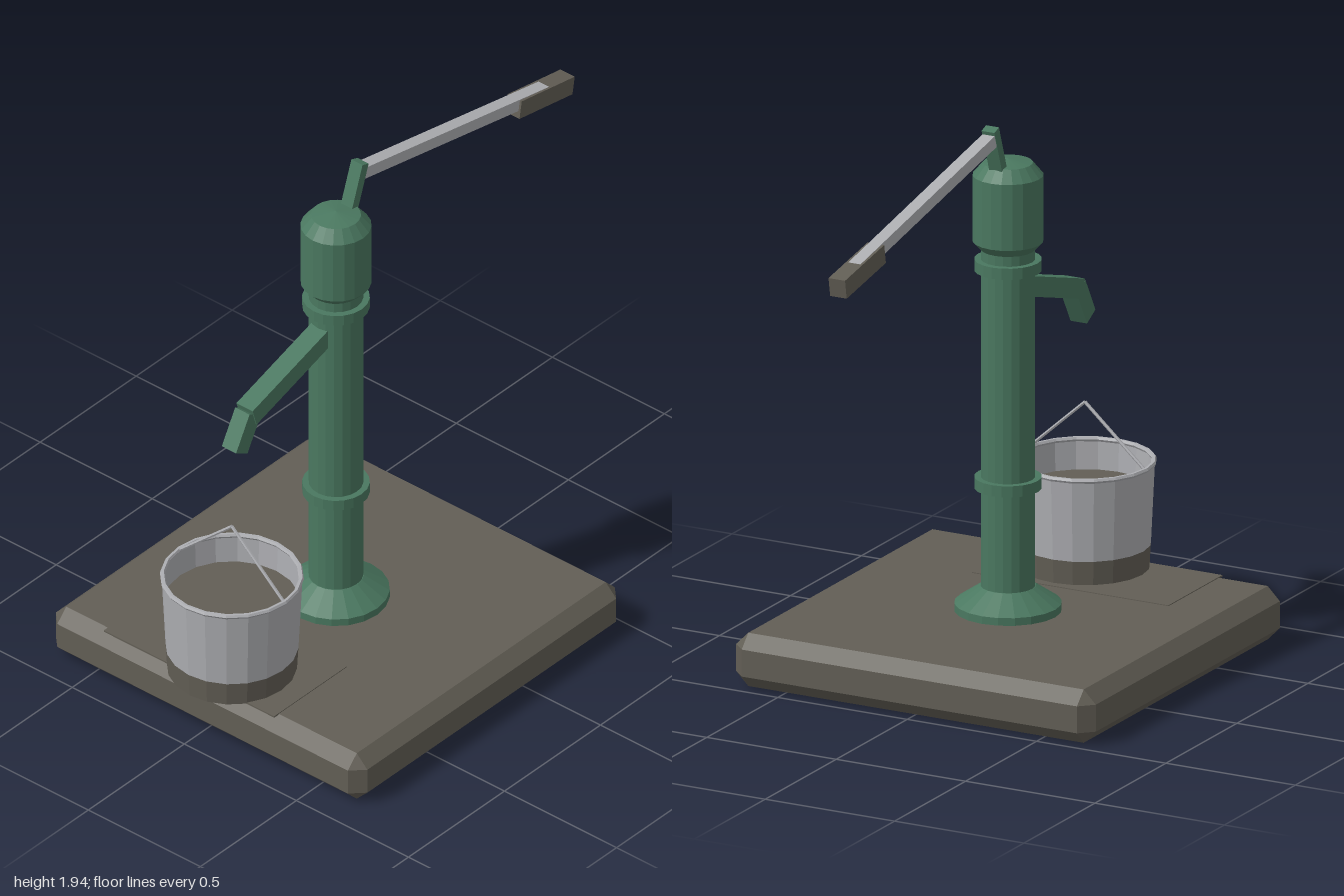
import * as THREE from 'three';
import { ConvexGeometry } from 'three/addons/geometries/ConvexGeometry.js';

const SIDES = 20;
const PUMP_Z = 0.21;
const BUCKET_Z = 0.752;

function material(name, color, extra = {}) {
  const m = new THREE.MeshStandardMaterial({ color, flatShading: true, ...extra });
  m.name = name;
  return m;
}

export function createModel() {
  const model = new THREE.Group();
  model.name = 'handPumpWithBucket';
  const green = material('paintedGreen', 0x4a7860);
  const brown = material('dullBrown', 0x625e55);
  const steel = material('paleSteel', 0xadaeb2, { side: THREE.DoubleSide });

  function add(name, geometry, mat, parent = model) {
    const mesh = new THREE.Mesh(geometry, mat);
    mesh.name = name;
    parent.add(mesh);
    return mesh;
  }

  // Square bar in the x = 0 plane between two [y, z] points
  function bar(name, mat, width, thick, [y0, z0], [y1, z1]) {
    const length = Math.hypot(y1 - y0, z1 - z0);
    const mesh = add(name, new THREE.BoxGeometry(width, thick, length), mat);
    mesh.position.set(0, (y0 + y1) / 2, (z0 + z1) / 2);
    mesh.rotation.x = -Math.atan2(y1 - y0, z1 - z0);
    return mesh;
  }

  // Turned part from [radius, y] points, bottom to top
  function turned(name, mat, points, z, parent = model) {
    const profile = points.map(([r, y]) => new THREE.Vector2(r, y));
    const mesh = add(name, new THREE.LatheGeometry(profile, SIDES), mat, parent);
    mesh.position.z = z;
    return mesh;
  }

  // Base block with every edge chamfered
  const half = [0.695, 0.095, 0.695];
  const chamfer = 0.047;
  const corners = [];
  for (const sx of [-1, 1]) for (const sy of [-1, 1]) for (const sz of [-1, 1]) {
    for (let full = 0; full < 3; full++) {
      const p = half.map((h, i) => (i === full ? h : h - chamfer));
      corners.push(new THREE.Vector3(sx * p[0], sy * p[1], sz * p[2]));
    }
  }
  add('baseBlock', new ConvexGeometry(corners), brown).position.set(0, 0.095, PUMP_Z);

  // Thin slab under the bucket
  add('bucketSlab', new THREE.BoxGeometry(0.76, 0.006, 0.38), brown).position.set(-0.08, 0.19, 0.692);

  // Pump body
  turned('pumpFoot', green, [[0, 0.186], [0.183, 0.186], [0.183, 0.217], [0.095, 0.277], [0, 0.277]], PUMP_Z);
  turned('pumpColumn', green, [[0.093, 0.22], [0.093, 1.49]], PUMP_Z);
  for (const [name, y] of [['lowerCollar', 0.645], ['upperCollar', 1.42]]) {
    turned(name, green, [[0.09, y - 0.02], [0.115, y - 0.02], [0.115, y + 0.02], [0.09, y + 0.02]], PUMP_Z);
  }
  turned('pumpHead', green, [[0, 1.474], [0.092, 1.474], [0.121, 1.505], [0.121, 1.74],
    [0.085, 1.783], [0, 1.797]], PUMP_Z);

  // Spout and its downturned tip
  bar('spoutArm', green, 0.073, 0.07, [1.345, 0.22], [1.205, 0.676]);
  bar('spoutTip', green, 0.064, 0.068, [1.212, 0.668], [1.088, 0.738]);

  // Lever bracket, lever and grip
  bar('leverBracket', green, 0.05, 0.034, [1.73, 0.157], [1.936, 0.085]);
  bar('leverArm', steel, 0.047, 0.044, [1.898, 0.089], [1.702, -0.9]);
  bar('leverGrip', brown, 0.064, 0.068, [1.7235, -0.714], [1.6745, -0.99]);

  // Bucket
  const bucket = new THREE.Group();
  bucket.name = 'bucket';
  bucket.position.z = BUCKET_Z;
  model.add(bucket);
  turned('bucketBottomBand', brown, [[0, 0.189], [0.221, 0.189], [0.226, 0.277]], 0, bucket);
  turned('bucketWall', steel, [[0.226, 0.277], [0.24, 0.568]], 0, bucket);
  const contents = add('bucketContents', new THREE.CircleGeometry(0.232, SIDES), brown, bucket);
  contents.rotation.x = -Math.PI / 2;
  contents.position.y = 0.46;
  const rim = add('bucketRim', new THREE.TorusGeometry(0.236, 0.009, 6, SIDES), steel, bucket);
  rim.rotation.x = Math.PI / 2;
  rim.position.y = 0.568;

  // Two rods meeting in a peak as the bail
  for (const side of [-1, 1]) {
    const from = new THREE.Vector3(side * 0.232, 0.568, 0);
    const to = new THREE.Vector3(0, 0.775, 0);
    const dir = to.clone().sub(from);
    const rod = add('bucketBail', new THREE.CylinderGeometry(0.006, 0.006, dir.length(), 6), steel, bucket);
    rod.position.copy(from).add(to).multiplyScalar(0.5);
    rod.quaternion.setFromUnitVectors(new THREE.Vector3(0, 1, 0), dir.normalize());
  }

  return model;
}
